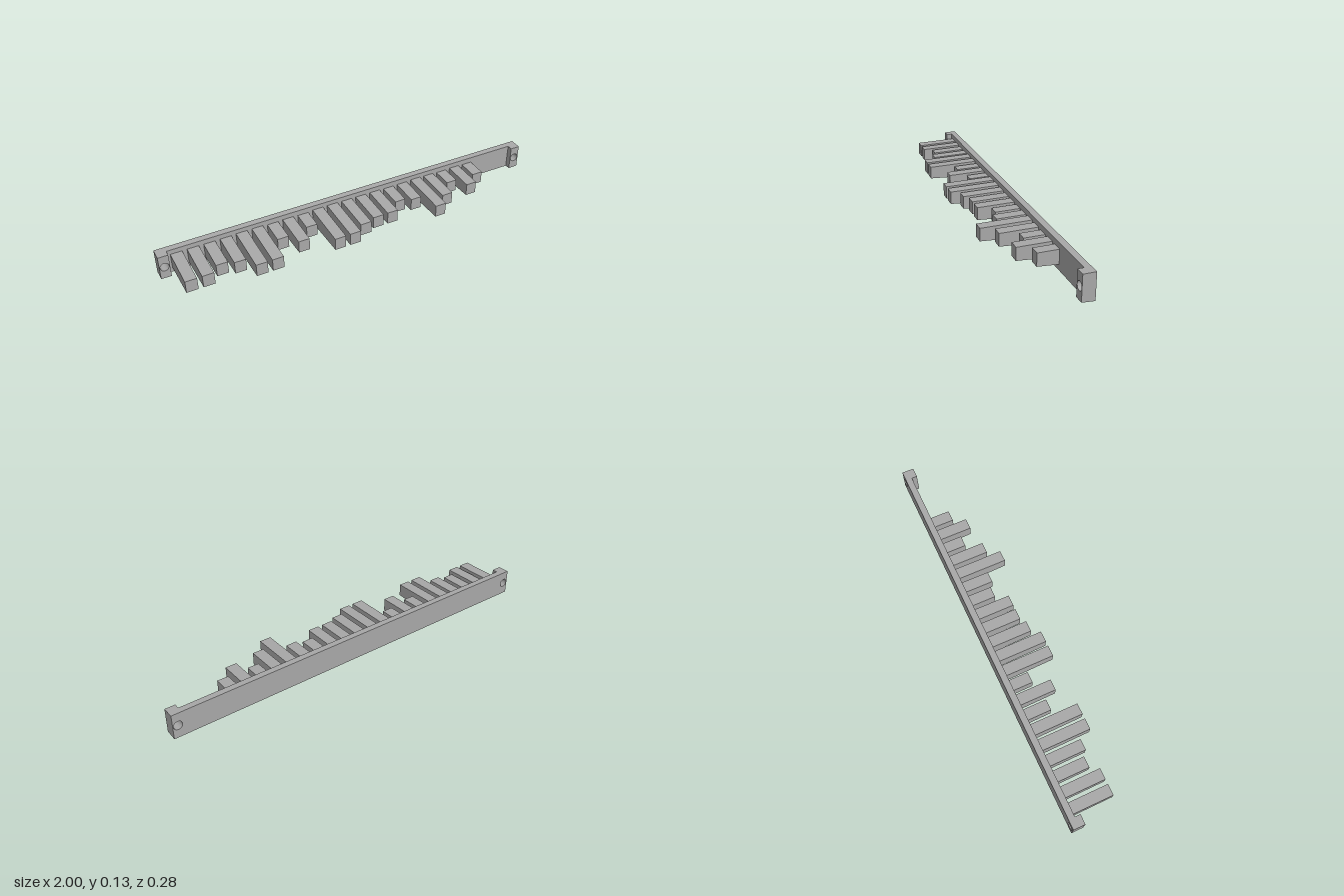
import * as THREE from 'three';

const MID = 0.0635;    // height of the rail's centre line
const BACK = -0.14;    // rear face
const FACE = -0.108;   // front face of the rail, where the bars begin
const DRAFT = 0.035;   // slope of the tapered top and bottom faces

// Narrow a geometry vertically towards +z, reaching halfHeight at zEnd.
function taper(geometry, halfHeight, zEnd) {
  const p = geometry.attributes.position;
  for (let i = 0; i < p.count; i++) {
    const half = halfHeight + (zEnd - p.getZ(i)) * DRAFT;
    p.setY(i, MID + Math.sign(p.getY(i)) * half);
  }
  geometry.computeVertexNormals();
  return geometry;
}

export function createModel() {
  const grey = new THREE.MeshStandardMaterial({ color: 0xa8a8a8 });
  grey.name = 'grey';
  const group = new THREE.Group();
  const add = (name, geometry) => {
    const mesh = new THREE.Mesh(geometry, grey);
    mesh.name = name;
    group.add(mesh);
    return mesh;
  };

  // Long backing rail
  const rail = new THREE.BoxGeometry(1.9, 1, FACE - BACK);
  rail.translate(0, 0, (FACE + BACK) / 2);
  add('rail', taper(rail, 0.0615, -0.08));

  // Thicker mounting block with a screw hole at each end
  for (const side of [-1, 1]) {
    const outline = new THREE.Shape([
      new THREE.Vector2(-0.025, -0.0615), new THREE.Vector2(0.025, -0.0615),
      new THREE.Vector2(0.025, 0.0615), new THREE.Vector2(-0.025, 0.0615),
    ]);
    outline.holes.push(new THREE.Path().absarc(0, 0, 0.0215, 0, Math.PI * 2, true));
    const block = new THREE.ExtrudeGeometry(outline, { depth: 0.06, bevelEnabled: false, curveSegments: 12 });
    block.translate(side * 0.975, 0, BACK);
    // Slope only the outer faces, leaving the hole straight
    const p = block.attributes.position;
    for (let i = 0; i < p.count; i++) {
      const y = p.getY(i);
      const slope = Math.abs(y) > 0.05 ? Math.sign(y) * (-0.08 - p.getZ(i)) * DRAFT : 0;
      p.setY(i, MID + y + slope);
    }
    block.computeVertexNormals();
    add(side < 0 ? 'rightMountingBlock' : 'leftMountingBlock', block);
  }

  // Row of tapered bars, each at one of several length steps
  const steps = [5, 5, 3, 4, 7, 7, 1, 4, 0, 7, 7, 5, 4, 4, 1, 2, 7, 4, 0, 3, 0];
  steps.forEach((step, i) => {
    const tip = -0.007 + step * 0.021;
    const bar = new THREE.BoxGeometry(0.056, 1, tip - FACE);
    bar.translate(-0.907 + i * 0.0794, 0, (tip + FACE) / 2);
    add('bar' + (i + 1), taper(bar, 0.0315, tip));
  });

  return group;
}
